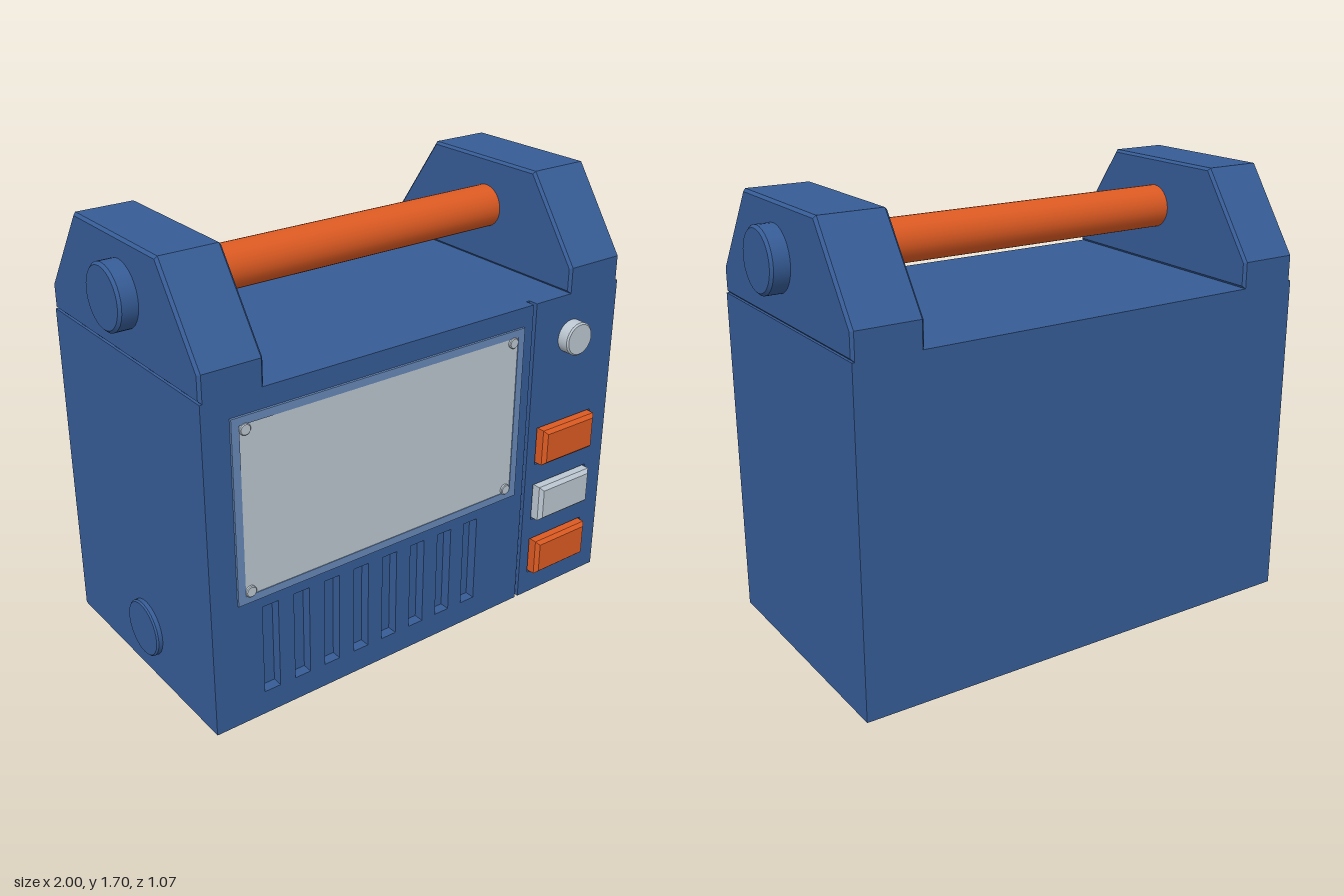
import * as THREE from 'three';

const paint = (name, color) => {
  const m = new THREE.MeshStandardMaterial({ color });
  m.name = name;
  return m;
};

// Rectangle outline from two corners
function rect(x0, y0, x1, y1, Type = THREE.Shape) {
  const s = new Type();
  s.moveTo(x0, y0);
  s.lineTo(x1, y0);
  s.lineTo(x1, y1);
  s.lineTo(x0, y1);
  s.closePath();
  return s;
}

// Extrusion with its bevel kept inside the outline and the total depth
function slab(shape, depth, bevel = 0) {
  return new THREE.ExtrudeGeometry(shape, {
    depth: depth - 2 * bevel, bevelEnabled: bevel > 0, bevelThickness: bevel,
    bevelSize: bevel, bevelOffset: -bevel, bevelSegments: 1,
  }).translate(0, 0, bevel);
}

// Disc with a chamfered outer rim, axis along y, base at y = 0
function chamferedDisc(r, h, c) {
  const disc = new THREE.LatheGeometry(
    [[r, 0], [r, h - c], [r, h - c], [r - c, h], [r - c, h], [0, h]].map(([x, y]) => new THREE.Vector2(x, y)), 32);
  return disc;
}

export function createModel() {
  const blue = paint('body blue', 0x365c96);
  const paleBlue = paint('frame blue', 0x6688b8);
  const grey = paint('light grey', 0xbcc7d1);
  const orange = paint('orange', 0xdc5a22);

  const model = new THREE.Group();
  model.name = 'portableUnit';
  const add = (name, geometry, material, x = 0, y = 0, z = 0) => {
    const mesh = new THREE.Mesh(geometry, material);
    mesh.name = name;
    mesh.position.set(x, y, z);
    model.add(mesh);
    return mesh;
  };

  const W = 0.93, H = 1.28, back = -0.53, front = 0.485, skin = 0.04;
  const inner = front - skin;

  // Main case behind the front plates
  add('case', new THREE.BoxGeometry(2 * W, H, inner - back), blue, 0, H / 2, (inner + back) / 2);

  // Large front plate with vent slots
  const mainPlate = rect(-W, 0, 0.488, H);
  for (let i = 0; i < 8; i++) {
    const x = -0.695 + i * 0.131;
    mainPlate.holes.push(rect(x - 0.033, 0.095, x + 0.033, 0.455, THREE.Path));
  }
  add('ventPlate', slab(mainPlate, skin), blue, 0, 0, inner);

  // Narrow control plate with button recesses, a groove away from the large plate
  const buttonRows = [[0.675, orange], [0.425, grey], [0.175, orange]];
  const controlPlate = rect(0.504, 0, W, H);
  for (const [y] of buttonRows) {
    controlPlate.holes.push(rect(0.55, y - 0.08, 0.84, y + 0.08, THREE.Path));
  }
  add('controlPlate', slab(controlPlate, skin), blue, 0, 0, inner);

  // Push buttons
  for (const [y, material] of buttonRows) {
    add('button', slab(rect(0.56, y - 0.075, 0.832, y + 0.075), 0.08, 0.014), material, 0, 0, inner);
  }

  // Control knob
  const knob = add('knob', chamferedDisc(0.066, 0.05, 0.006), grey, 0.695, 1.107, front);
  knob.rotation.x = Math.PI / 2;

  // Display: raised rim, inner panel and corner screws
  const rim = rect(-0.826, 0.5, 0.441, 1.204);
  rim.holes.push(rect(-0.796, 0.53, 0.411, 1.174, THREE.Path));
  add('displayFrame', slab(rim, 0.009), paleBlue, 0, 0, front);
  add('displayPanel', slab(rect(-0.796, 0.53, 0.411, 1.174), 0.006), grey, 0, 0, front);
  for (const x of [-0.776, 0.386]) {
    for (const y of [0.545, 1.157]) {
      const screw = add('displayScrew', chamferedDisc(0.021, 0.016, 0.003), grey, x, y, front);
      screw.rotation.x = Math.PI / 2;
    }
  }

  // Handle brackets with sloped shoulders, and their outer caps
  const bracket = new THREE.Shape(
    [[-0.53, 1.28], [0.485, 1.28], [0.485, 1.38], [0.26, 1.698], [-0.305, 1.698], [-0.53, 1.38]]
      .map(([z, y]) => new THREE.Vector2(z, y)));
  for (const [side, label, width] of [[1, 'left', 0.26], [-1, 'right', 0.24]]) {
    const geometry = slab(bracket, width, 0.01).translate(0, 0, -width / 2).rotateY(-Math.PI / 2);
    add(label + 'HandleBracket', geometry, blue, side * (W - width / 2));
    const cap = add(label + 'HandleCap', chamferedDisc(0.12, 0.07, 0.01), blue, side * W, 1.502, 0.01);
    cap.rotation.z = -side * Math.PI / 2;
  }

  // Carrying bar
  const bar = new THREE.CylinderGeometry(0.083, 0.083, 1.42, 32).rotateZ(Math.PI / 2);
  add('handleBar', bar, orange, -0.01, 1.508, 0.005);

  // Low round cover on the right side
  const cover = add('sideCover', chamferedDisc(0.11, 0.022, 0.006), blue, -W, 0.19, 0.01);
  cover.rotation.z = Math.PI / 2;

  return model;
}
